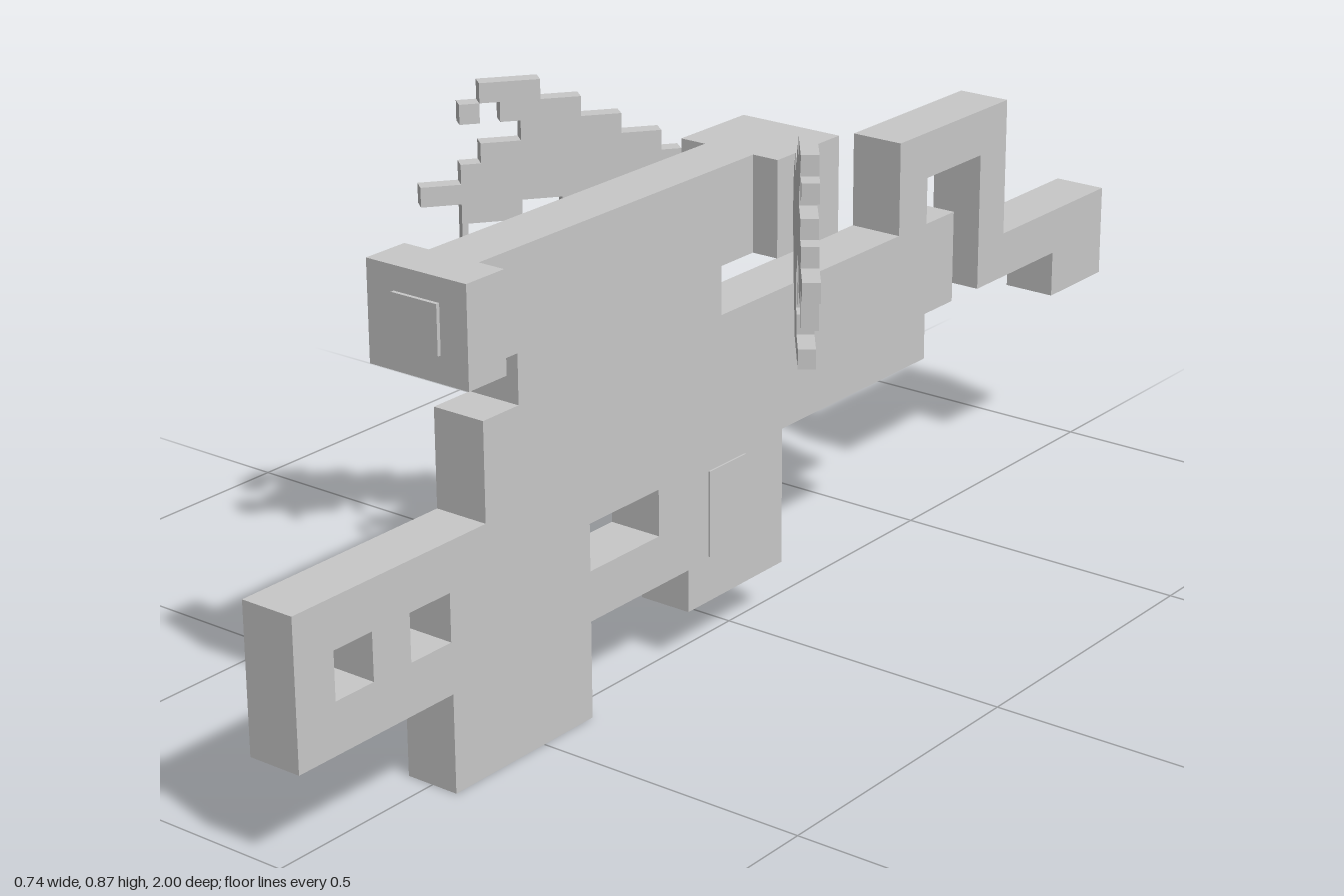
import * as THREE from 'three';

export function createModel() {
  const model = new THREE.Group();
  model.name = 'blockyRifle';
  const grey = new THREE.MeshStandardMaterial({ color: 0xc8c8c8 });
  grey.name = 'plain grey';

  // Box given by its min and max corners
  function box(name, x0, x1, y0, y1, z0, z1, parent = model) {
    const mesh = new THREE.Mesh(new THREE.BoxGeometry(x1 - x0, y1 - y0, z1 - z0), grey);
    mesh.position.set((x0 + x1) / 2, (y0 + y1) / 2, (z0 + z1) / 2);
    mesh.name = name;
    parent.add(mesh);
    return mesh;
  }

  // Body: flat side profile in (z, y), with barrel, grip, top rail and stock loop
  const half = 0.045;
  const toPoints = list => list.map(([z, y]) => new THREE.Vector2(z, y));
  const profile = new THREE.Shape(toPoints([
    [1, 0.155], [1, 0.387], [0.615, 0.387], [0.615, 0.54], [0.54, 0.54], [0.54, 0.617],
    [0.615, 0.617], [0.615, 0.77], [0, 0.77], [0, 0.617], [0.077, 0.617], [0.077, 0.54],
    [-0.385, 0.54], [-0.385, 0.693], [-0.69, 0.693], [-0.69, 0.463], [-1, 0.463],
    [-1, 0.31], [-0.846, 0.31], [-0.846, 0.387], [-0.615, 0.387], [-0.615, 0.617],
    [-0.462, 0.617], [-0.462, 0.54], [-0.54, 0.54], [-0.54, 0.387], [-0.462, 0.387],
    [-0.462, 0.31], [0.155, 0.31], [0.155, 0.155], [0.39, 0.155], [0.39, 0], [0.692, 0],
    [0.692, 0.155],
  ]));
  for (const [z0, z1] of [[0.85, 0.925], [0.693, 0.775], [0.23, 0.39]]) {
    profile.holes.push(new THREE.Path(toPoints([[z0, 0.235], [z1, 0.235], [z1, 0.31], [z0, 0.31]])));
  }
  const bodyGeometry = new THREE.ExtrudeGeometry(profile, { depth: 2 * half, bevelEnabled: false });
  bodyGeometry.translate(0, 0, -half);
  bodyGeometry.rotateY(-Math.PI / 2);
  const body = new THREE.Mesh(bodyGeometry, grey);
  body.name = 'body';
  model.add(body);

  // Wide sight blocks with thin square lenses
  box('frontSight', -0.09, 0.09, 0.617, 0.77, 0.615, 0.692);
  box('rearSight', -0.09, 0.09, 0.617, 0.77, -0.155, 0);
  box('frontLens', -0.041, 0.041, 0.658, 0.733, 0.692, 0.698);
  box('rearLens', -0.041, 0.041, 0.658, 0.733, -0.161, -0.155);

  // Magazine with a thin panel on each side
  box('magazine', -half, half, 0.086, 0.312, -0.076, 0.16);
  for (const s of [-1, 1]) {
    const x = s * (half + 0.0015);
    box('magazinePanel', x - 0.0015, x + 0.0015, 0.16, 0.3, 0.02, 0.11);
  }

  // Pixel wings: [row from the top, first column, end column]
  const pitch = 0.0307, rowHeight = 0.0309, thick = 0.026, top = 0.871;
  const runs = [
    [0, 7, 10], [1, 5, 9], [1, 10, 11], [2, 3, 8], [3, 1, 10], [4, 0, 11], [5, 0, 13],
    [6, 0, 6], [6, 8, 11], [7, 1, 5], [7, 7.2, 7.5], [7, 10.7, 11],
    [8, 1, 5], [9, 2, 6], [10, 3, 8],
  ];
  for (const s of [-1, 1]) {
    const wing = new THREE.Group();
    wing.name = s > 0 ? 'leftWing' : 'rightWing';
    wing.position.set(s * 0.105, 0, -0.019);
    wing.rotation.y = -s * 0.906;
    // The right wing carries one extra pixel at its lower tip
    const list = s > 0 ? runs : [...runs, [11, 8.7, 9]];
    for (const [row, c0, c1] of list) {
      const a = s * c0 * pitch, b = s * c1 * pitch, y = top - row * rowHeight;
      box('wingRow', Math.min(a, b), Math.max(a, b), y - rowHeight, y, -thick, 0, wing);
    }
    model.add(wing);
  }
  return model;
}
